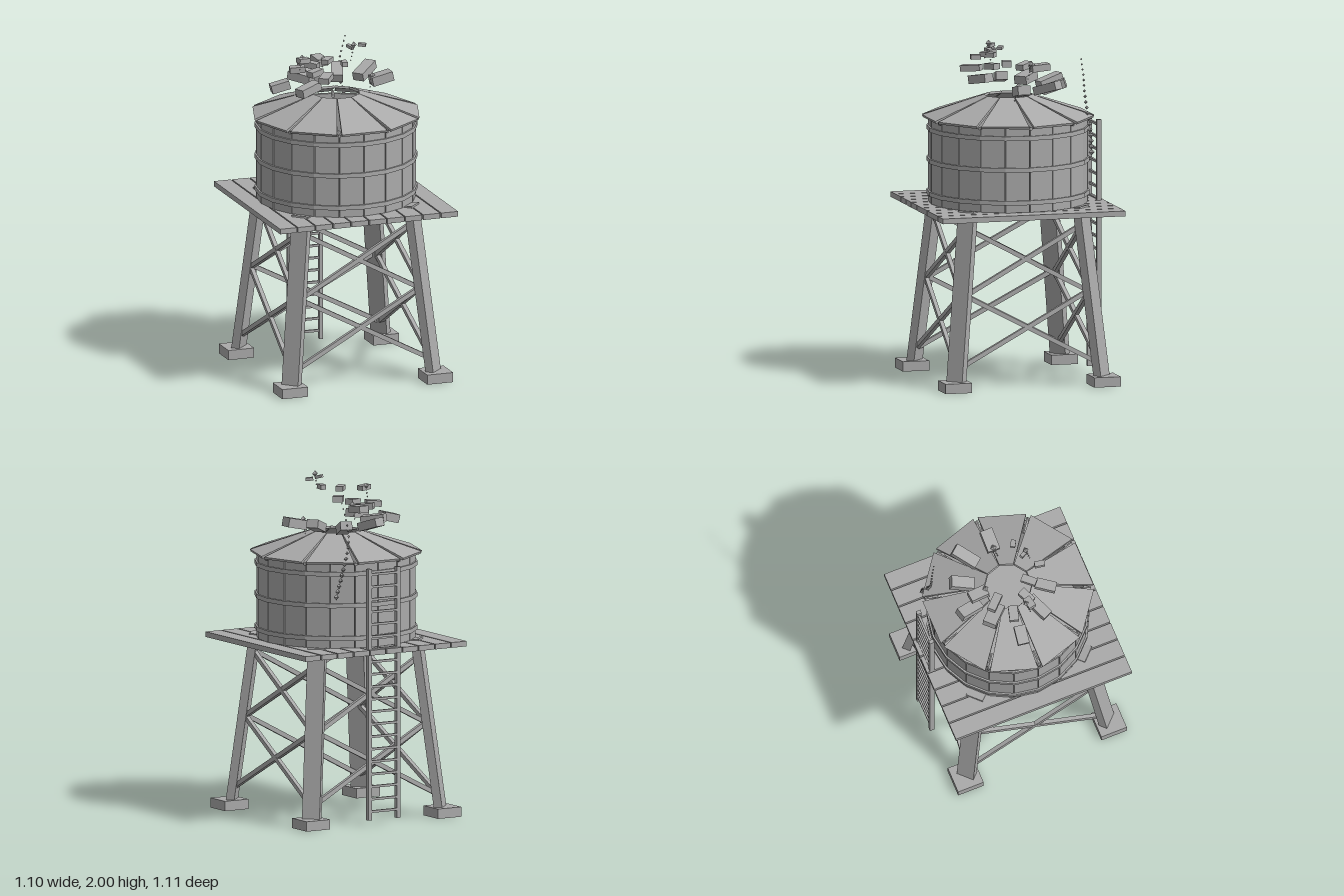
import * as THREE from 'three';

const grey = new THREE.MeshStandardMaterial({ color: 0xaaaaaa });
grey.name = 'weathered grey';

export function createModel() {
  const root = new THREE.Group();
  root.name = 'waterTower';

  const group = (name) => {
    const g = new THREE.Group();
    g.name = name;
    root.add(g);
    return g;
  };
  const add = (parent, name, geo, x = 0, y = 0, z = 0) => {
    const m = new THREE.Mesh(geo, grey);
    m.name = name;
    m.position.set(x, y, z);
    parent.add(m);
    return m;
  };
  const box = (parent, name, w, h, d, x, y, z) =>
    add(parent, name, new THREE.BoxGeometry(w, h, d), x, y, z);
  const flat = (geo) => {
    const g = geo.index ? geo.toNonIndexed() : geo;
    g.computeVertexNormals();
    return g;
  };
  // Square-cut timber from a to b, its local z facing the given direction
  const beam = (parent, name, a, b, w, d, facing) => {
    const dir = b.clone().sub(a);
    const mid = a.clone().add(b).multiplyScalar(0.5);
    const m = box(parent, name, w, dir.length(), d, mid.x, mid.y, mid.z);
    const yAxis = dir.normalize();
    const xAxis = yAxis.clone().cross(facing).normalize();
    const zAxis = xAxis.clone().cross(yAxis);
    m.quaternion.setFromRotationMatrix(new THREE.Matrix4().makeBasis(xAxis, yAxis, zAxis));
    return m;
  };
  const V = (x, y, z) => new THREE.Vector3(x, y, z);
  const legAt = (y) => 0.445 - 0.1 * y;

  // Legs and footings
  const legs = group('legs');
  for (const sx of [-1, 1]) for (const sz of [-1, 1]) {
    box(legs, 'footing', 0.16, 0.058, 0.16, sx * 0.45, 0.029, sz * 0.45);
    const p = (y) => V(sx * legAt(y), y, sz * legAt(y));
    beam(legs, 'leg', p(0.03), p(1.042), 0.105, 0.05, V(sx, 0, sz));
  }

  // Two crossed pairs of braces on each of the four sides
  const braces = group('braces');
  for (let i = 0; i < 4; i++) {
    const side = new THREE.Group();
    side.name = 'braceSide';
    side.rotation.y = i * Math.PI / 2;
    braces.add(side);
    for (const [y0, y1] of [[0.125, 0.56], [0.54, 0.94]]) for (const s of [-1, 1]) {
      beam(side, 'brace', V(-s * legAt(y0), y0, legAt(y0)), V(s * legAt(y1), y1, legAt(y1)),
        0.026, 0.024, V(0, 0, 1));
    }
  }

  // Platform planks
  const platform = group('platform');
  for (let i = 0; i < 10; i++) {
    box(platform, 'plank', 0.103, 0.031, 1.106, (i - 4.5) * 0.1112, 1.02, 0);
  }

  // Ladder at the back
  const ladder = group('ladder');
  for (const s of [-1, 1]) box(ladder, 'ladderRail', 0.022, 1.48, 0.028, s * 0.098, 0.77, -0.521);
  for (let i = 0; i < 20; i++) box(ladder, 'rung', 0.19, 0.014, 0.014, 0, 0.08 + i * 0.0735, -0.523);

  // Tank staves, floor and hoops
  const tank = group('tank');
  const stave = new THREE.BoxGeometry(0.14, 0.495, 0.022).translate(0, 1.285, 0.448);
  for (let i = 0; i < 20; i++) {
    add(tank, 'stave', stave).rotation.y = (i + 0.5) * Math.PI / 10;
  }
  add(tank, 'tankFloor', flat(new THREE.CylinderGeometry(0.45, 0.45, 0.02, 20)), 0, 1.046, 0);
  const hoopProfile = [[0.455, -0.013], [0.475, -0.013], [0.475, 0.013], [0.455, 0.013], [0.455, -0.013]]
    .map(([r, y]) => new THREE.Vector2(r, y));
  const hoop = flat(new THREE.LatheGeometry(hoopProfile, 20));
  for (const y of [1.095, 1.288, 1.474]) add(tank, 'hoop', hoop, 0, y, 0);

  // Roof: ten sloping panels round an open centre, with short pegs below the gaps
  const roof = group('roof');
  const outline = new THREE.Shape([[-0.042, 0], [-0.141, -0.366], [0.141, -0.366], [0.042, 0]]
    .map(([x, y]) => new THREE.Vector2(x, y)));
  const panel = new THREE.ExtrudeGeometry(outline, { depth: 0.014, bevelEnabled: false });
  panel.rotateX(-Math.PI / 2).rotateX(0.334).translate(0, 1.652, 0.13);
  const peg = flat(new THREE.CylinderGeometry(0.01, 0.01, 0.1, 6)).rotateX(Math.PI / 2).translate(0, 1.532, 0.435);
  for (let i = 0; i < 10; i++) {
    add(roof, 'roofPanel', panel).rotation.y = i * Math.PI / 5;
    add(roof, 'roofPeg', peg).rotation.y = (i + 0.5) * Math.PI / 5;
  }

  // Flying boards: x, y, z, length, height, width, yaw, pitch (degrees)
  const debris = group('debris');
  [
    [-0.07, 1.725, -0.27, 0.15, 0.05, 0.07, 105, 17],
    [-0.03, 1.81, -0.2, 0.11, 0.04, 0.065, 95, 4],
    [0.1, 1.715, -0.25, 0.14, 0.05, 0.07, 70, 20],
    [0.24, 1.73, -0.17, 0.16, 0.05, 0.07, 40, 17],
    [0.28, 1.725, 0, 0.13, 0.055, 0.075, 0, 12],
    [-0.16, 1.735, -0.155, 0.14, 0.05, 0.08, 135, 8],
    [-0.115, 1.81, -0.13, 0.11, 0.035, 0.05, 135, 5],
    [-0.33, 1.72, -0.05, 0.11, 0.05, 0.068, -8, 14],
    [-0.22, 1.81, -0.055, 0.09, 0.035, 0.055, -15, 4],
    [-0.21, 1.73, 0.105, 0.15, 0.05, 0.065, 25, 10],
    [-0.15, 1.81, 0.055, 0.09, 0.035, 0.05, 25, 5],
    [-0.22, 1.89, 0.045, 0.07, 0.028, 0.045, 12, -4],
    [-0.13, 1.81, 0.185, 0.12, 0.035, 0.06, 55, 4],
    [-0.09, 1.89, 0.095, 0.09, 0.028, 0.045, 48, 0],
    [-0.02, 1.89, 0.19, 0.06, 0.028, 0.033, 80, 0],
    [0.045, 1.965, 0.115, 0.045, 0.018, 0.022, -60, -15],
    [0.13, 1.962, 0.085, 0.045, 0.018, 0.03, -30, -5],
  ].forEach(([x, y, z, l, h, w, yaw, pitch]) => {
    const m = box(debris, 'flyingBoard', l, h, w, x, y, z);
    m.rotation.set(0, yaw * Math.PI / 180, pitch * Math.PI / 180, 'YXZ');
  });

  // Droplets, each with a trail of smaller ones below
  const drops = group('droplets');
  const drop = (x, y, z, r) => add(drops, 'droplet', new THREE.OctahedronGeometry(r), x, y, z);
  for (const [x, y, z] of [[-0.02, 1.83, -0.15], [0.225, 1.745, 0], [-0.22, 1.9, 0.025], [0.06, 1.981, 0.135]]) {
    drop(x, y, z, 0.019);
    for (let i = 1; i < 5; i++) drop(x - 0.006 * i, y - 0.022 * i, z + 0.004 * i, 0.009 - i * 0.001);
  }

  // Long curved splash falling down the back, growing towards its end
  const splash = new THREE.CatmullRomCurve3([
    V(0.2, 1.885, -0.385), V(0.18, 1.78, -0.405), V(0.17, 1.68, -0.415),
    V(0.195, 1.57, -0.425), V(0.235, 1.45, -0.432), V(0.265, 1.345, -0.43)]);
  for (let i = 0; i <= 17; i++) {
    const p = splash.getPointAt(i / 17);
    drop(p.x, p.y, p.z, 0.006 + 0.012 * i / 17);
  }
  return root;
}
